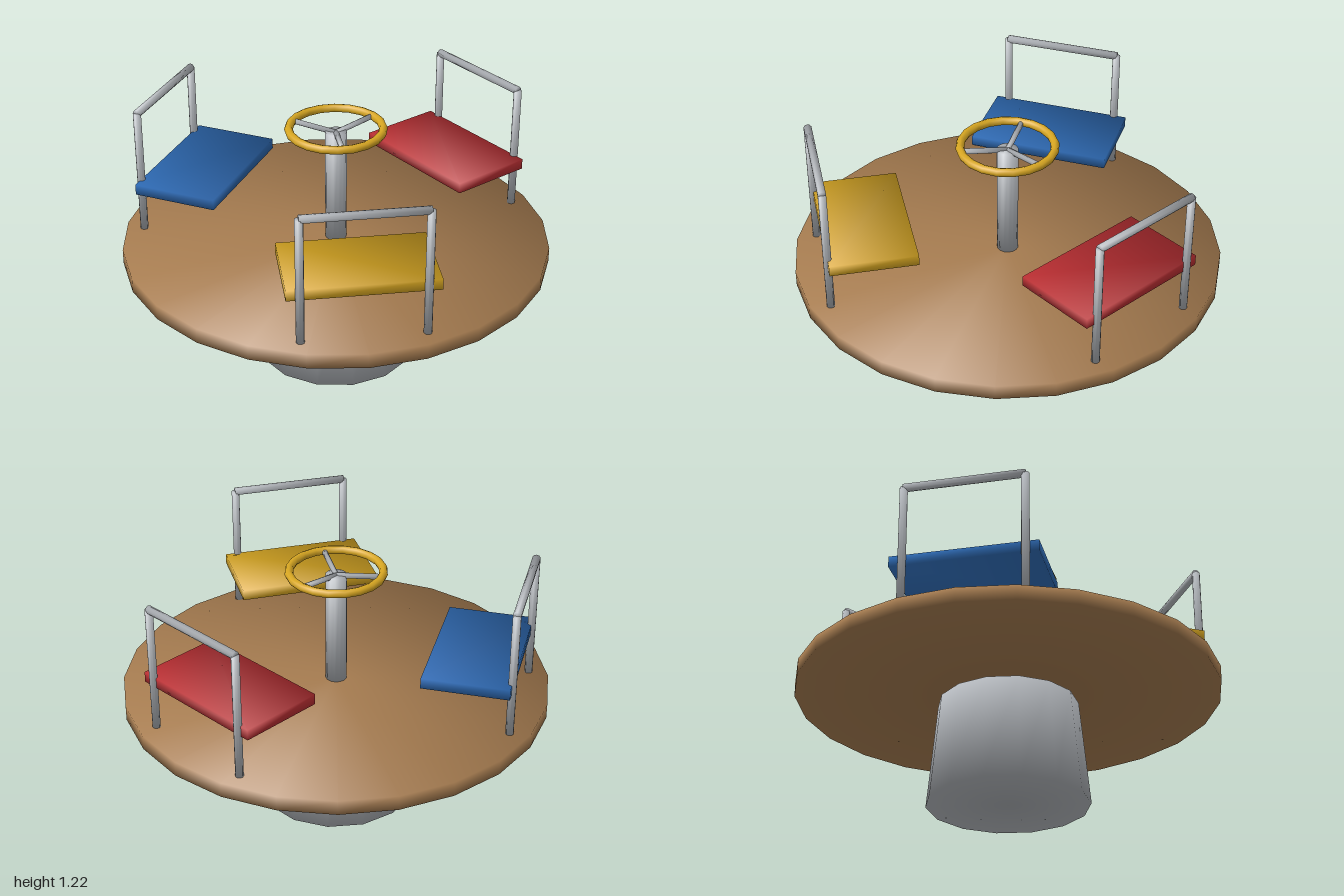
import * as THREE from 'three';

function paint(name, color) {
  const m = new THREE.MeshStandardMaterial({ color });
  m.name = name;
  return m;
}

// Average the normals of all faces meeting at a corner, for soft edges
function soften(geo) {
  const p = geo.attributes.position, n = geo.attributes.normal, sums = new Map();
  const key = (i) => [p.getX(i), p.getY(i), p.getZ(i)].map((v) => Math.round(v * 1e4)).join();
  for (let i = 0; i < p.count; i++) {
    const v = new THREE.Vector3().fromBufferAttribute(n, i);
    const list = sums.get(key(i)) ?? [];
    if (!list.some((o) => o.distanceTo(v) < 0.01)) list.push(v);
    sums.set(key(i), list);
  }
  for (let i = 0; i < p.count; i++) {
    const s = new THREE.Vector3();
    sums.get(key(i)).forEach((v) => s.add(v));
    s.normalize();
    n.setXYZ(i, s.x, s.y, s.z);
  }
  return geo;
}

function add(parent, name, geo, material, x = 0, y = 0, z = 0) {
  const mesh = new THREE.Mesh(geo, material);
  mesh.name = name;
  mesh.position.set(x, y, z);
  parent.add(mesh);
  return mesh;
}

// Straight round bar between two points
function bar(parent, name, from, to, radius, sides, material) {
  const a = new THREE.Vector3(...from), b = new THREE.Vector3(...to);
  const geo = soften(new THREE.CylinderGeometry(radius, radius, a.distanceTo(b), sides));
  const mesh = add(parent, name, geo, material);
  mesh.position.copy(a).lerp(b, 0.5);
  mesh.quaternion.setFromUnitVectors(new THREE.Vector3(0, 1, 0), b.clone().sub(a).normalize());
  return mesh;
}

export function createModel() {
  const model = new THREE.Group();
  model.name = 'merryGoRound';

  const steel = paint('steel', 0xb2b6bb);
  const wood = paint('wood', 0xa67c50);
  const red = paint('red', 0xc03034);
  const blue = paint('blue', 0x2d69b2);
  const yellow = paint('yellow', 0xd8a722);

  // Tapered foot and round deck
  add(model, 'base', soften(new THREE.CylinderGeometry(0.33, 0.38, 0.5, 14)), steel, 0, 0.25);
  add(model, 'deck', soften(new THREE.CylinderGeometry(1, 1, 0.07, 24)), wood, 0, 0.565);

  // Centre post with the hand wheel
  bar(model, 'centrePost', [0, 0.6, 0], [0, 1.145, 0], 0.05, 14, steel);
  const wheel = new THREE.Group();
  wheel.name = 'handWheel';
  model.add(wheel);
  const rim = new THREE.TorusGeometry(0.216, 0.02, 8, 20).rotateX(Math.PI / 2);
  add(wheel, 'wheelRim', rim, yellow, 0, 1.16);
  for (let i = 0; i < 3; i++) {
    const a = (i * Math.PI * 2) / 3;
    bar(wheel, 'wheelSpoke', [0, 1.14, 0], [0.21 * Math.cos(a), 1.16, 0.21 * Math.sin(a)], 0.013, 8, steel);
  }

  // Three seats, each with a tubular backrest frame
  [red, blue, yellow].forEach((colour, i) => {
    const bench = new THREE.Group();
    bench.name = colour.name + 'Bench';
    bench.rotation.y = (i * Math.PI * 2) / 3;
    model.add(bench);
    add(bench, 'seat', soften(new THREE.BoxGeometry(0.4, 0.05, 0.67)), colour, 0.67, 0.835);
    for (const z of [-0.275, 0.275]) {
      bar(bench, 'backPost', [0.87, 0.6, z], [0.87, 1.2, z], 0.019, 10, steel);
    }
    bar(bench, 'backRail', [0.87, 1.2, -0.277], [0.87, 1.2, 0.277], 0.019, 10, steel);
  });

  return model;
}
